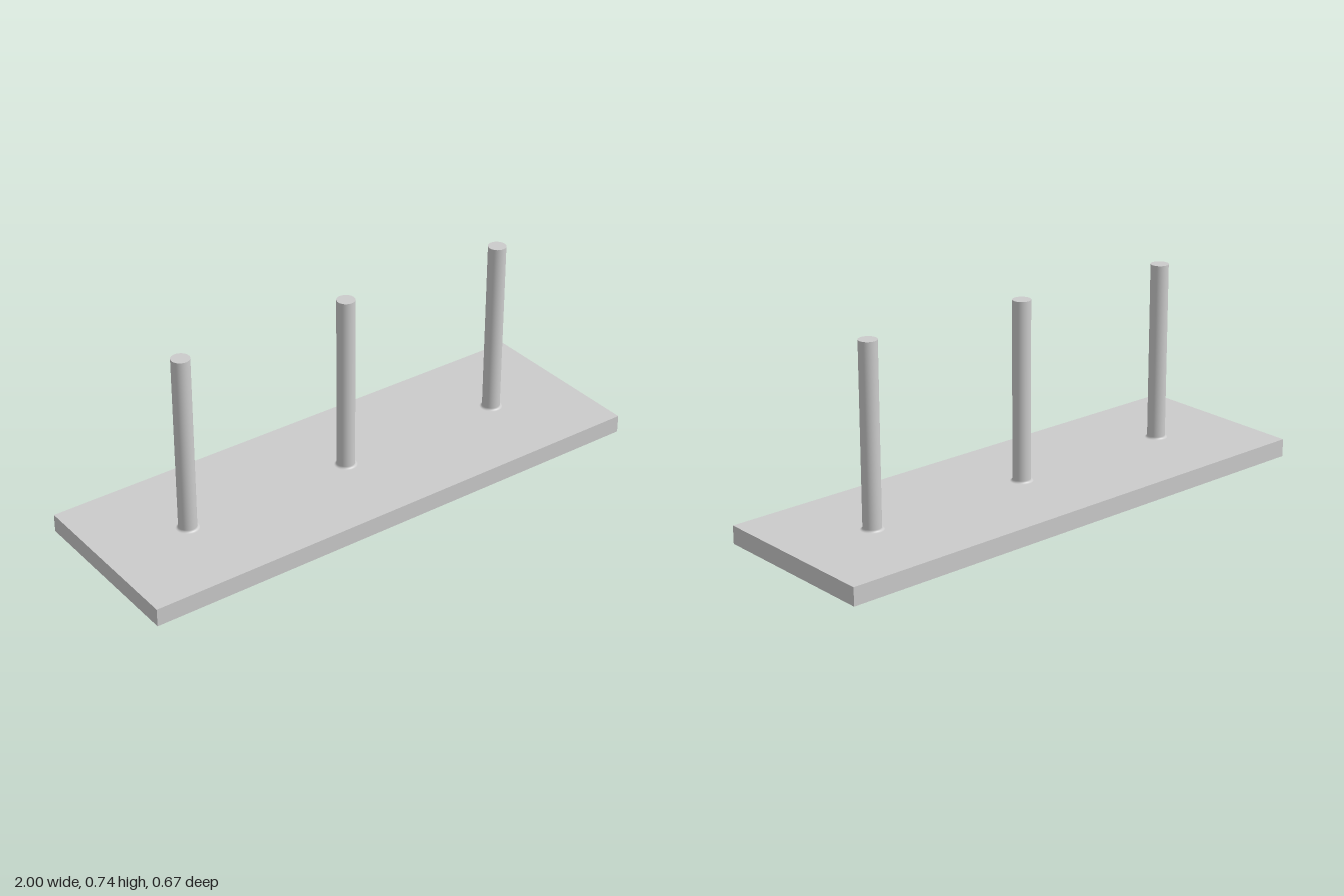
import * as THREE from 'three';

const BASE_H = 0.067, TOP = 0.735, PEG_R = 0.033, FILLET = 0.009;

export function createModel() {
  const model = new THREE.Group();
  const material = new THREE.MeshStandardMaterial({ color: 0xcccccc });

  // Flat rectangular base
  const base = new THREE.Mesh(new THREE.BoxGeometry(2, BASE_H, 0.667), material);
  base.name = 'base';
  base.position.y = BASE_H / 2;
  model.add(base);

  // Peg side: concave fillet at the foot, then a straight shaft
  const profile = [];
  for (let i = 0; i <= 6; i++) {
    const a = (i / 6) * Math.PI / 2;
    profile.push(new THREE.Vector2(
      PEG_R + FILLET * (1 - Math.sin(a)),
      BASE_H + FILLET * (1 - Math.cos(a))
    ));
  }
  profile.push(new THREE.Vector2(PEG_R, TOP));
  const shaftGeometry = new THREE.LatheGeometry(profile, 48);
  const capGeometry = new THREE.CircleGeometry(PEG_R, 48).rotateX(-Math.PI / 2);

  // Three evenly spaced pegs
  ['rightPeg', 'middlePeg', 'leftPeg'].forEach((name, i) => {
    const peg = new THREE.Group();
    peg.name = name;
    const shaft = new THREE.Mesh(shaftGeometry, material);
    shaft.name = 'shaft';
    const cap = new THREE.Mesh(capGeometry, material);
    cap.name = 'cap';
    cap.position.y = TOP;
    peg.add(shaft, cap);
    peg.position.x = (i - 1) * 0.667;
    model.add(peg);
  });

  return model;
}
